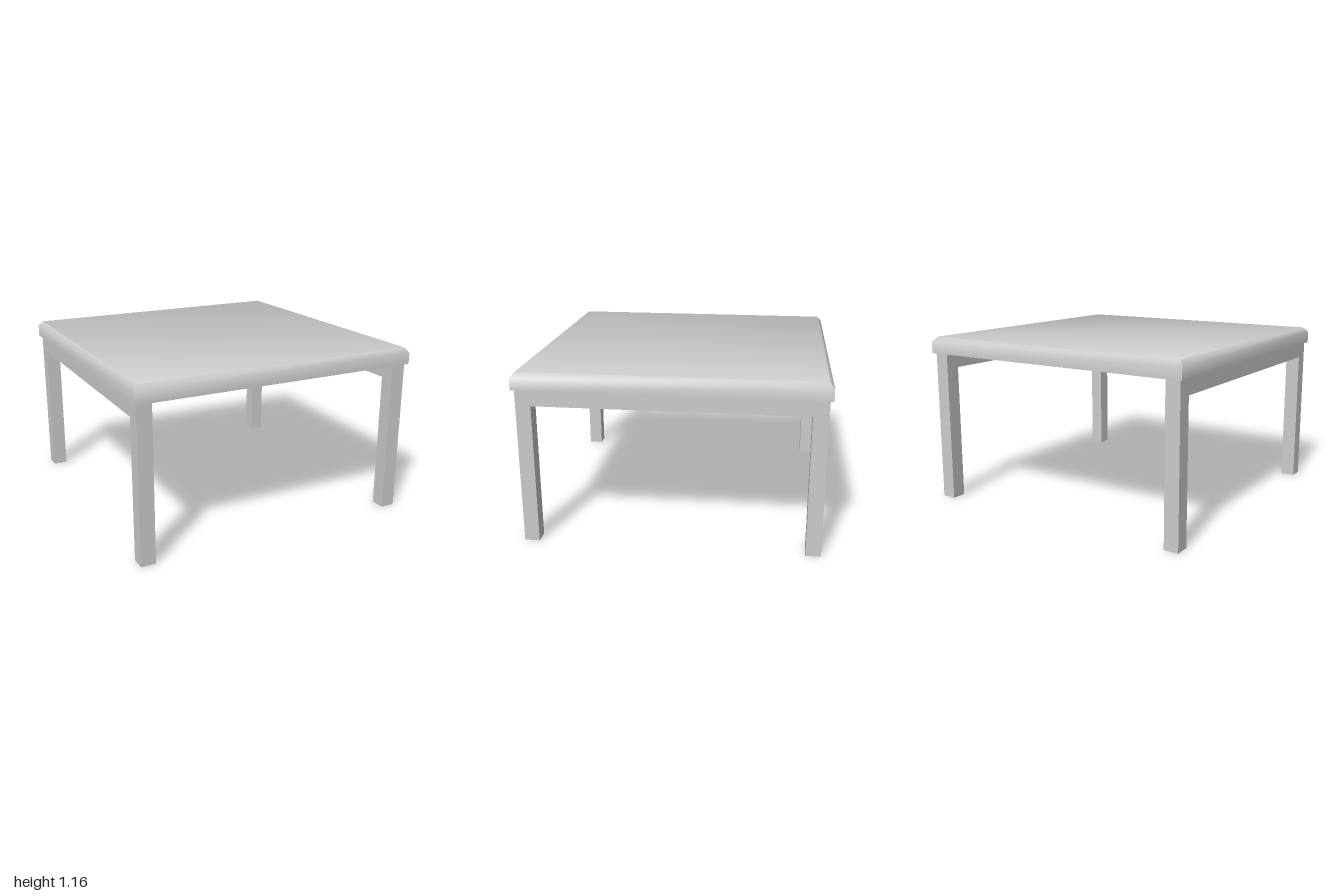
import * as THREE from 'three';
import { toCreasedNormals } from 'three/addons/utils/BufferGeometryUtils.js';

const TOP = 1.165, UNDER = 1.05, LEG = 0.10, OFFSET = 0.93;

// Slab with a chamfered upper rim, shaded softly over the rim
function tabletopGeometry() {
  const geo = new THREE.BoxGeometry(2, 2, 2, 1, 2, 1);
  const pos = geo.attributes.position;
  for (let i = 0; i < pos.count; i++) {
    const level = Math.round(pos.getY(i)); // -1 underside, 0 rim, 1 upper face
    const s = level === 1 ? 0.97 : 1;
    const y = [UNDER, 1.13, TOP][level + 1];
    pos.setXYZ(i, pos.getX(i) * s, y, pos.getZ(i) * s);
  }
  return toCreasedNormals(geo, THREE.MathUtils.degToRad(52));
}

// Square tube, open at both ends
function legGeometry() {
  const geo = new THREE.BoxGeometry(LEG, UNDER, LEG);
  const index = Array.from(geo.index.array);
  index.splice(12, 12); // drop the end caps
  geo.setIndex(index);
  geo.clearGroups();
  return geo;
}

export function createModel() {
  const table = new THREE.Group();
  table.name = 'table';
  const material = new THREE.MeshStandardMaterial({ color: 0xcccccc });
  const tubeMaterial = new THREE.MeshStandardMaterial({ color: 0xcccccc, side: THREE.DoubleSide });

  const add = (name, geo, mat, x = 0, y = 0, z = 0) => {
    const mesh = new THREE.Mesh(geo, mat);
    mesh.name = name;
    mesh.position.set(x, y, z);
    table.add(mesh);
  };

  add('tabletop', tabletopGeometry(), material);

  // A pair of legs joined by a rail on each side
  const leg = legGeometry();
  const rail = new THREE.BoxGeometry(LEG, 0.105, 2 * OFFSET - LEG);
  for (const [side, x] of [['left', OFFSET], ['right', -OFFSET]]) {
    add(side + 'Rail', rail, material, x, UNDER - 0.0525, 0);
    add(side + 'FrontLeg', leg, tubeMaterial, x, UNDER / 2, OFFSET);
    add(side + 'BackLeg', leg, tubeMaterial, x, UNDER / 2, -OFFSET);
  }
  return table;
}
